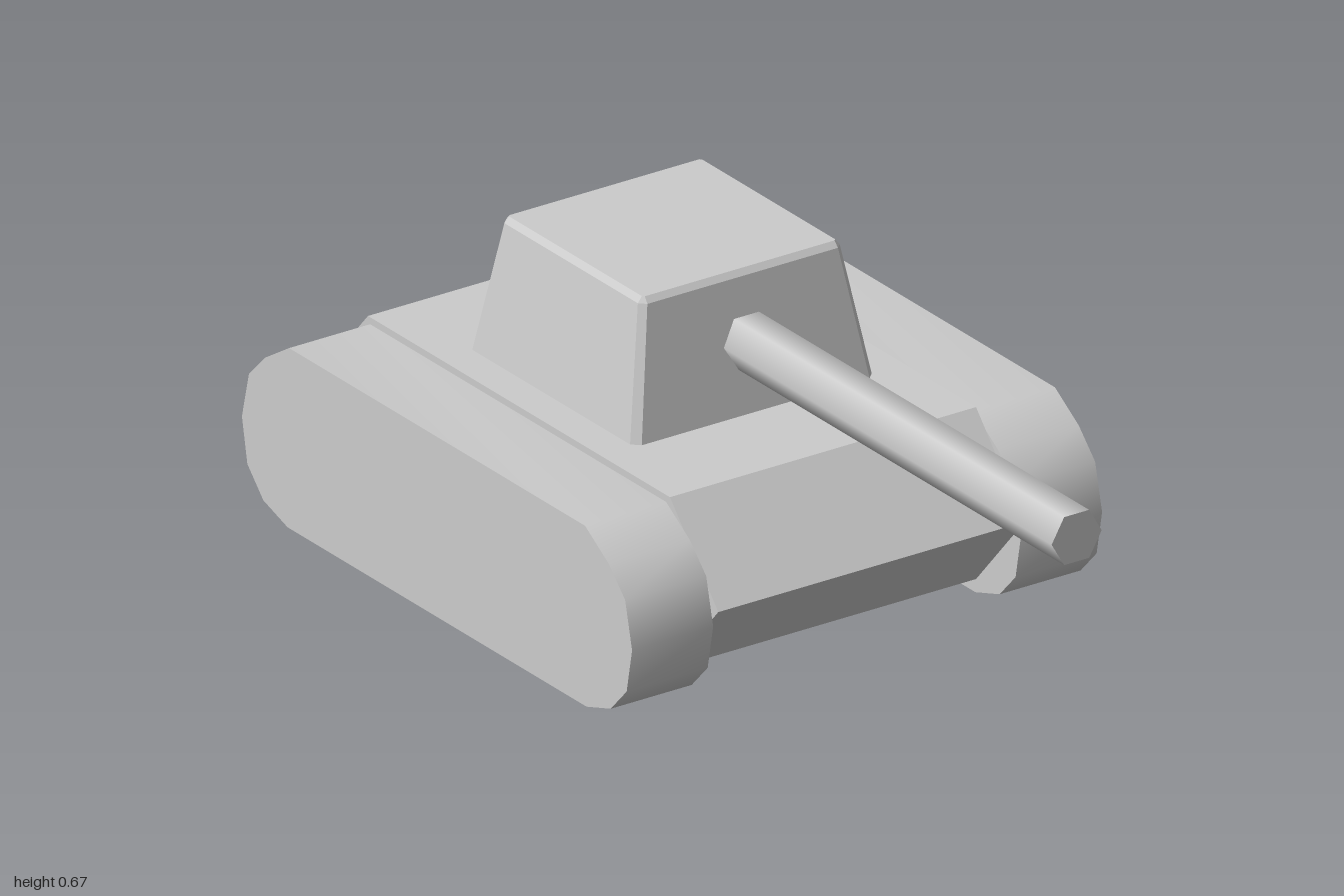
import * as THREE from 'three';
import { toCreasedNormals } from 'three/addons/utils/BufferGeometryUtils.js';

const MID_Z = -0.34; // middle of the vehicle body
const grey = new THREE.MeshStandardMaterial({ color: 0xcccccc });
const flatGrey = new THREE.MeshStandardMaterial({ color: 0xcccccc, flatShading: true });

function addMesh(group, name, geometry, material) {
  const mesh = new THREE.Mesh(geometry, material);
  mesh.name = name;
  group.add(mesh);
  return mesh;
}

// Side profile given as its front half [z from middle, y], bottom to top,
// mirrored to the rear and extruded across x.
function sideExtrusion(half, width) {
  const rear = half.map(([z, y]) => [-z, y]).reverse();
  const shape = new THREE.Shape([...half, ...rear].map(([z, y]) => new THREE.Vector2(z, y)));
  const geometry = new THREE.ExtrudeGeometry(shape, { depth: width, bevelEnabled: false });
  geometry.translate(0, 0, -width / 2);
  geometry.rotateY(-Math.PI / 2);
  geometry.translate(0, 0, MID_Z);
  return geometry;
}

// Rectangle with cut corners, as a loop around y
function chamferedLoop(y, halfX, halfZ, cut) {
  const a = halfX - cut, b = halfZ - cut;
  return [[a, halfZ], [halfX, b], [halfX, -b], [a, -halfZ], [-a, -halfZ], [-halfX, -b], [-halfX, b], [-a, halfZ]]
    .map(([x, z]) => [x, y, z]);
}

// Skin between successive loops, closed at both ends
function loftLoops(loops) {
  const points = [];
  const n = loops[0].length;
  for (let k = 0; k < loops.length - 1; k++) {
    for (let i = 0; i < n; i++) {
      const j = (i + 1) % n;
      const a = loops[k][i], b = loops[k][j], c = loops[k + 1][j], d = loops[k + 1][i];
      points.push(...a, ...b, ...c, ...a, ...c, ...d);
    }
  }
  const first = loops[0], last = loops[loops.length - 1];
  for (let i = 1; i < n - 1; i++) {
    points.push(...last[0], ...last[i], ...last[i + 1]);
    points.push(...first[0], ...first[i + 1], ...first[i]);
  }
  const geometry = new THREE.BufferGeometry();
  geometry.setAttribute('position', new THREE.Float32BufferAttribute(points, 3));
  geometry.computeVertexNormals();
  return geometry;
}

export function createModel() {
  const model = new THREE.Group();
  model.name = 'tank';

  // Six-sided hull with pointed nose and tail
  const hullHalf = [[0.5, 0.03], [0.66, 0.21], [0.5, 0.39]];
  addMesh(model, 'hull', sideExtrusion(hullHalf, 0.71), flatGrey);

  // Rounded track blocks on both sides
  const trackHalf = [[0.495, 0], [0.575, 0.026], [0.628, 0.082], [0.646, 0.175],
    [0.623, 0.272], [0.569, 0.327], [0.49, 0.377]];
  for (const [side, name] of [[1, 'leftTrack'], [-1, 'rightTrack']]) {
    const geometry = toCreasedNormals(sideExtrusion(trackHalf, 0.188), Math.PI / 4);
    addMesh(model, name, geometry, grey).position.x = side * 0.451;
  }

  // Tapered turret with bevelled edges
  const turret = loftLoops([
    chamferedLoop(0.385, 0.281, 0.278, 0.016),
    chamferedLoop(0.658, 0.234, 0.234, 0.013),
    chamferedLoop(0.67, 0.224, 0.224, 0.004),
  ]);
  addMesh(model, 'turret', turret, flatGrey).position.z = MID_Z;

  // Six-sided gun barrel, its rear end inside the turret
  const barrel = new THREE.CylinderGeometry(0.058, 0.058, 1.2, 6, 1, false, Math.PI / 2);
  barrel.rotateX(Math.PI / 2);
  addMesh(model, 'barrel', barrel, grey).position.set(0, 0.53, 0.4);

  return model;
}
